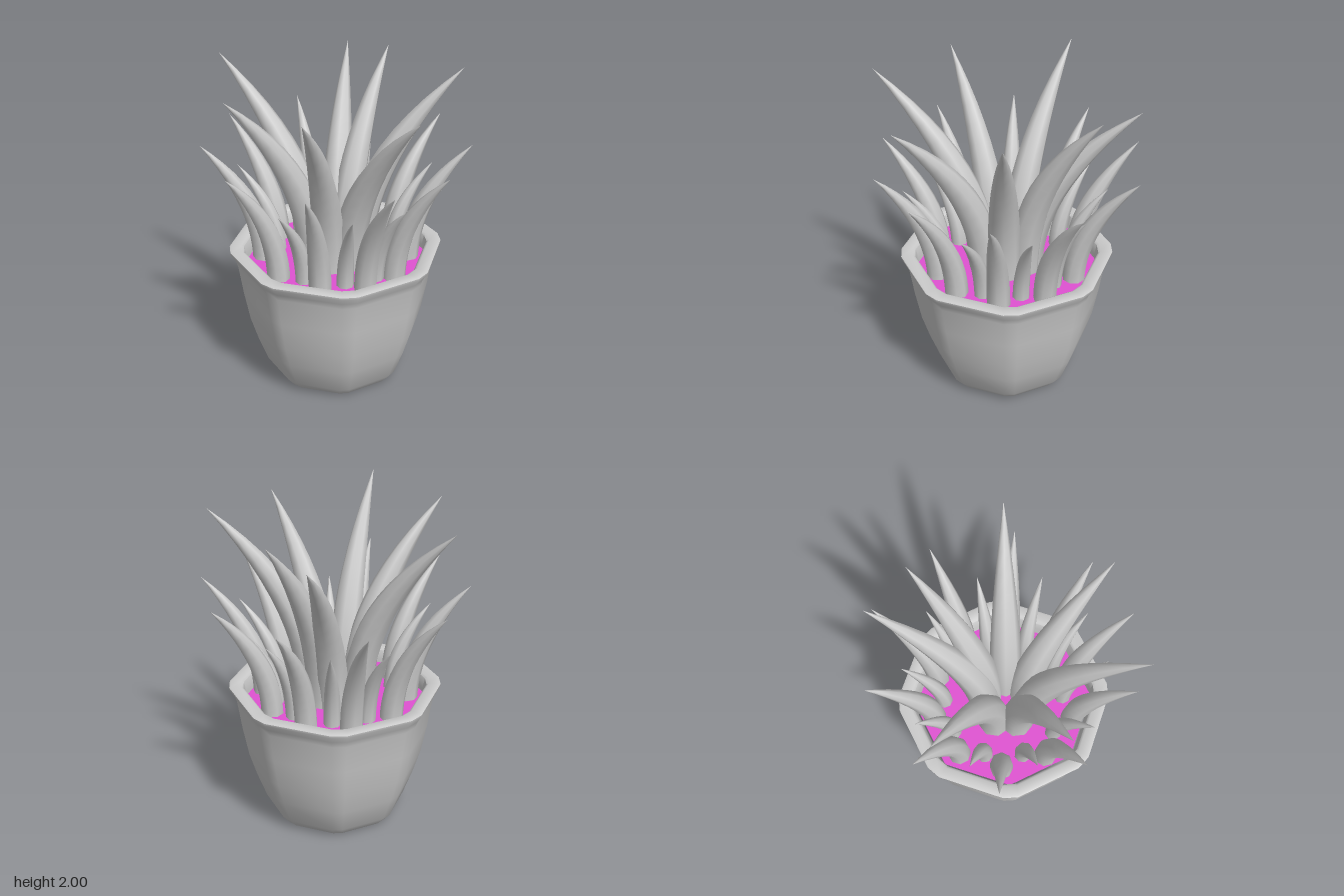
import * as THREE from 'three';
import { toCreasedNormals } from 'three/addons/utils/BufferGeometryUtils.js';

const grey = new THREE.MeshStandardMaterial({ color: 0xcccccc });
const soilMaterial = new THREE.MeshStandardMaterial({ color: 0xe052d2 });
const SOIL_Y = 0.79;

// Octagonal pot: a 16-sided lathe whose columns are gathered in pairs at 8 bevelled corners
function createPot() {
  const profile = [
    [0, 0], [0.36, 0], [0.39, 0.015], [0.44, 0.075], [0.5, 0.24], [0.545, 0.39],
    [0.58, 0.58], [0.608, 0.77], [0.62, 0.81], [0.65, 0.855], [0.652, 0.87], [0.64, 0.875],
    [0.58, 0.875], [0.565, 0.865], [0.55, 0.8], [0.54, 0.74],
  ].map(([r, y]) => new THREE.Vector2(r, y));
  const geometry = new THREE.LatheGeometry(profile, 16);
  const position = geometry.attributes.position;
  const bevel = 0.07;
  for (let i = 0; i < position.count; i++) {
    const column = Math.floor(i / profile.length) % 16;
    const r = profile[i % profile.length].x;
    const angle = Math.floor(column / 2) * Math.PI / 4 + (column % 2 ? bevel : -bevel);
    position.setX(i, r * Math.sin(angle));
    position.setZ(i, r * Math.cos(angle));
  }
  const pot = new THREE.Mesh(toCreasedNormals(geometry, 0.75), grey);
  pot.name = 'pot';
  return pot;
}

// Tapering leaf that starts upright and bends outward towards its tip
function createLeaf(base, tip, radius) {
  const sides = 8, rings = 12;
  const geometry = new THREE.CylinderGeometry(1, 1, 1, sides, rings, true);
  const position = geometry.attributes.position;
  const outward = new THREE.Vector3(tip.x - base.x, 0, tip.z - base.z);
  const reach = outward.length();
  outward.normalize();
  const across = new THREE.Vector3(outward.z, 0, -outward.x);
  const rise = tip.y - base.y;
  const point = new THREE.Vector3();
  for (let i = 0; i < position.count; i++) {
    const t = position.getY(i) + 0.5;
    const a = position.getX(i), b = position.getZ(i);
    const slope = Math.atan2(reach * 2.1 * Math.pow(t, 1.1), rise);
    const r = radius * (1 - Math.pow(t, 2.5));
    point.copy(base)
      .addScaledVector(outward, reach * Math.pow(t, 2.1) + b * r * Math.cos(slope))
      .addScaledVector(across, a * r);
    point.y += rise * t - b * r * Math.sin(slope);
    position.setXYZ(i, point.x, point.y, point.z);
  }
  return new THREE.Mesh(toCreasedNormals(geometry, 1.0), grey);
}

// Ring of leaves from their tip positions [x, z]
function createLeafRing(name, tips, height, baseRadius, radius, centreZ = 0) {
  const ring = new THREE.Group();
  ring.name = name;
  tips.forEach(([x, z, y = height], i) => {
    const angle = Math.atan2(z - centreZ, x);
    const base = new THREE.Vector3(
      baseRadius * Math.cos(angle), SOIL_Y - 0.03, centreZ + baseRadius * Math.sin(angle));
    const leaf = createLeaf(base, new THREE.Vector3(x, y, z), radius);
    leaf.name = `${name}Leaf${i + 1}`;
    ring.add(leaf);
  });
  return ring;
}

export function createModel() {
  const model = new THREE.Group();
  model.name = 'pottedPlant';
  model.add(createPot());

  // Soil disc inside the rim
  const soil = new THREE.Mesh(new THREE.CircleGeometry(0.55, 8), soilMaterial);
  soil.name = 'soil';
  soil.rotation.x = -Math.PI / 2;
  soil.position.y = SOIL_Y;
  model.add(soil);

  // Tall leaves in the middle
  model.add(createLeafRing('tall', [
    [-0.08, -0.64, 1.96], [0.56, -0.49, 2], [0.72, 0.19, 1.91], [0.35, 0.74, 1.99],
    [-0.24, 0.69, 1.96], [-0.76, 0.16, 1.99], [-0.41, -0.66, 1.91],
  ], 1.98, 0.14, 0.1, 0.02));

  // Medium leaves near the rim
  model.add(createLeafRing('medium', [
    [0.8, 0], [0.7, 0.39], [0.34, 0.71], [-0.18, 0.77], [-0.62, 0.51],
    [-0.81, 0.04], [-0.67, -0.46], [-0.28, -0.77], [0.23, -0.78], [0.65, -0.48],
  ], 1.54, 0.44, 0.07));

  // Short leaves between them
  model.add(createLeafRing('short', [
    [0.61, 0.14], [0.45, 0.43], [0.08, 0.63], [-0.31, 0.53], [-0.57, 0.24],
    [-0.59, -0.17], [-0.39, -0.46], [-0.02, -0.6], [0.35, -0.52], [0.61, -0.22],
  ], 1.33, 0.37, 0.052));

  return model;
}
